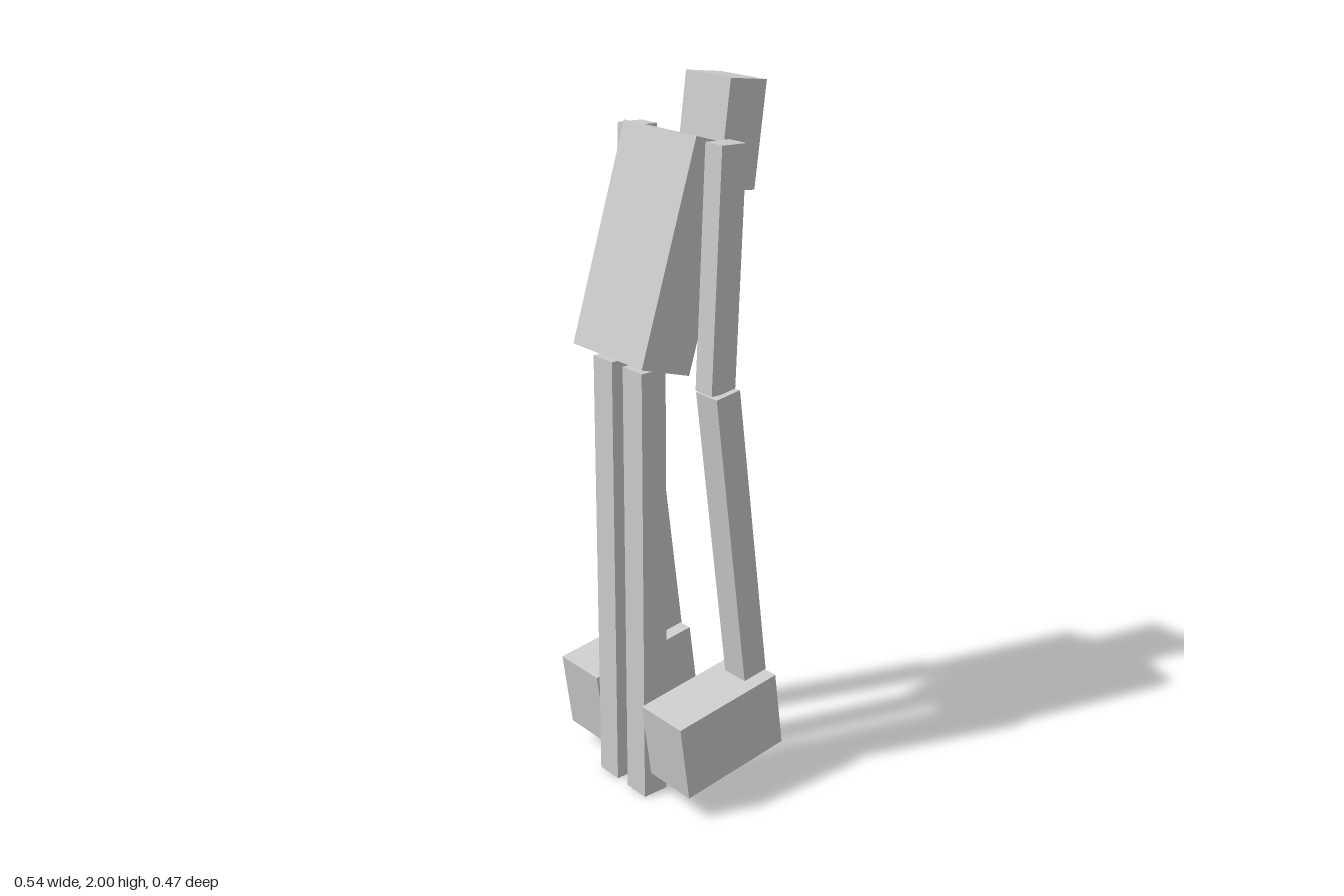
import * as THREE from 'three';

const material = new THREE.MeshStandardMaterial({ color: 0xcccccc, flatShading: true });

// Box of a given size, placed by its centre and tilted about the x axis
function block(name, size, position, tilt = 0) {
  const mesh = new THREE.Mesh(new THREE.BoxGeometry(...size), material);
  mesh.name = name;
  mesh.position.set(...position);
  mesh.rotation.x = tilt;
  return mesh;
}

export function createModel() {
  const model = new THREE.Group();
  model.name = 'blockFigure';

  // Torso leaning back, with a flush panel on its back
  const torso = block('torso', [0.292, 0.602, 0.165], [0, 1.567, 0.0625], -0.302);
  torso.add(block('backPanel', [0.165, 0.19, 0.04], [0, 0.01, -0.065]));
  model.add(torso);

  // Head behind the shoulders
  model.add(block('head', [0.177, 0.286, 0.125], [0, 1.848, -0.154], -0.13));

  // Limbs, mirrored
  for (const [side, s] of [['left', 1], ['right', -1]]) {
    model.add(
      block(side + 'Leg', [0.08, 1.275, 0.08], [s * 0.063, 0.6375, 0.157]),
      block(side + 'UpperArm', [0.065, 0.652, 0.081], [s * 0.1775, 1.533, -0.004], -0.042),
      block(side + 'LowerArm', [0.083, 0.876, 0.081], [s * 0.187, 0.775, -0.0485], 0.131),
      block(side + 'Hand', [0.168, 0.23, 0.352], [s * 0.188, 0.209, 0.016], 0.137)
    );
  }
  return model;
}
